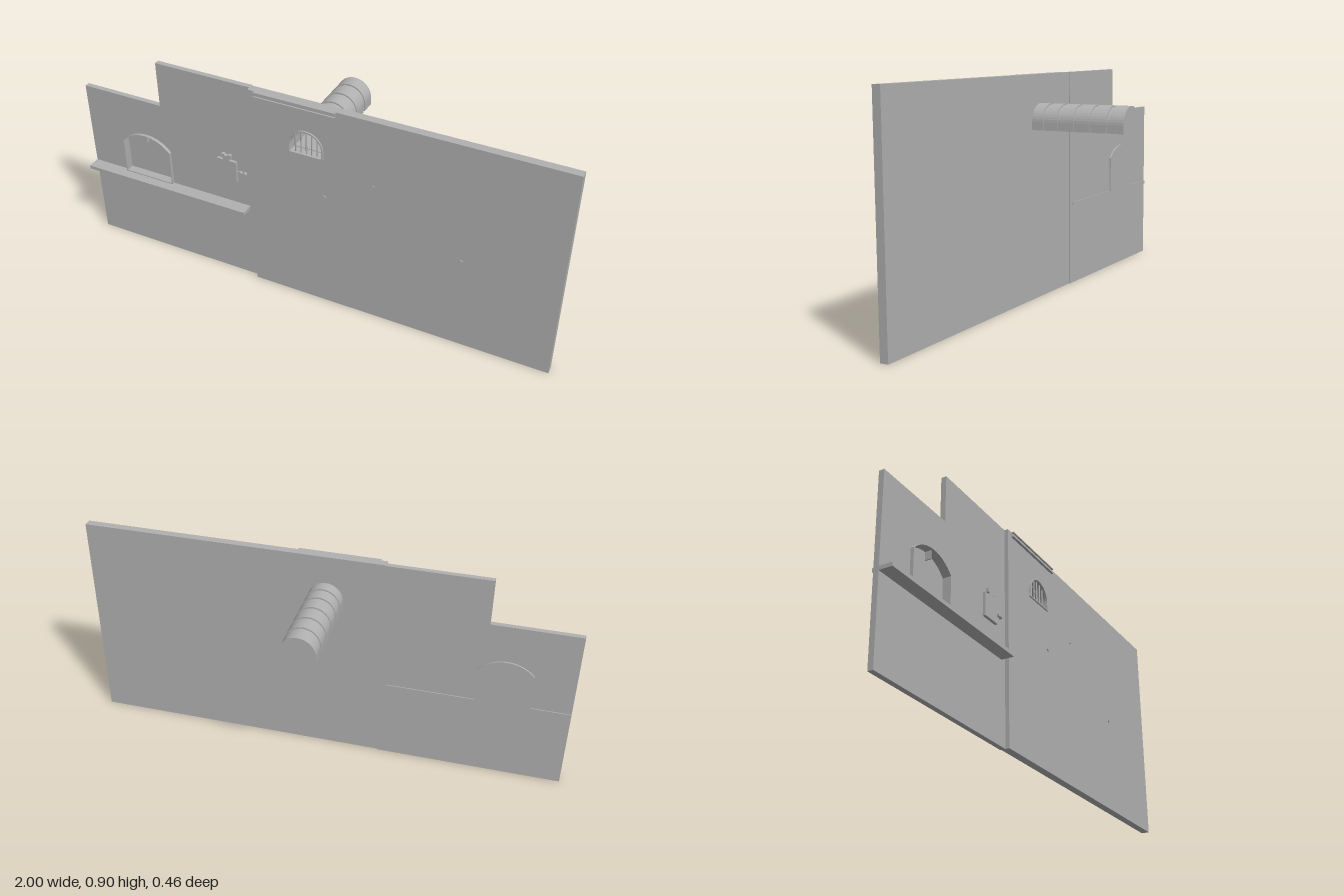
import * as THREE from 'three';

export function createModel() {
  const root = new THREE.Group();
  const grey = new THREE.MeshStandardMaterial({ color: 0xb0b0b0 });
  grey.name = 'plain grey';

  const add = (name, geometry, parent = root) => {
    const mesh = new THREE.Mesh(geometry, grey);
    mesh.name = name;
    parent.add(mesh);
    return mesh;
  };
  // Box given by its limits on each axis
  const box = (name, x0, x1, y0, y1, z0, z1, parent) => {
    const g = new THREE.BoxGeometry(x1 - x0, y1 - y0, z1 - z0);
    g.translate((x0 + x1) / 2, (y0 + y1) / 2, (z0 + z1) / 2);
    return add(name, g, parent);
  };
  // Flat outline pushed from z0 to z1
  const slab = (name, shape, z0, z1, parent) => {
    const g = new THREE.ExtrudeGeometry(shape, { depth: z1 - z0, bevelEnabled: false, curveSegments: 16 });
    g.translate(0, 0, z0);
    return add(name, g, parent);
  };
  const poly = (pts) => new THREE.Shape(pts.map(([x, y]) => new THREE.Vector2(x, y)));
  // Upright outline with straight legs and an elliptical top
  const arch = (cx, halfW, y0, spring, top) => {
    const pts = [[cx - halfW, y0], [cx + halfW, y0]];
    for (let i = 0; i <= 20; i++) {
      const a = (i / 20) * Math.PI;
      pts.push([cx + halfW * Math.cos(a), spring + (top - spring) * Math.sin(a)]);
    }
    return poly(pts);
  };
  // Arched alcove: a flatter, segmental top
  const alcove = (grow) => {
    const cx = -0.728, w = 0.112 + grow, spring = 0.5, rise = 0.052 + grow;
    const r = (w * w + rise * rise) / (2 * rise), half = Math.asin(w / r);
    const pts = [[cx - w, 0.35 - grow], [cx + w, 0.35 - grow]];
    for (let i = 0; i <= 16; i++) {
      const a = half - (i / 16) * 2 * half;
      pts.push([cx + r * Math.sin(a), spring + rise - r + r * Math.cos(a)]);
    }
    return poly(pts);
  };

  // Stepped wall with the alcove opening
  const stepped = poly([[-1, 0], [-0.235, 0], [-0.235, 0.9], [-0.645, 0.9], [-0.645, 0.71], [-1, 0.71]]);
  stepped.holes.push(alcove(-0.004));
  slab('steppedWall', stepped, 0.159, 0.18);

  // Long wall with the window opening
  const long = poly([[-0.235, 0], [1, 0], [1, 0.9], [-0.235, 0.9]]);
  long.holes.push(arch(0, 0.066, 0.685, 0.715, 0.781));
  slab('longWall', long, 0.163, 0.196);

  // Alcove back, thin lining and keystone joint
  slab('alcoveBack', alcove(0), 0.152, 0.159);
  const lining = alcove(0);
  lining.holes.push(alcove(-0.004));
  slab('alcoveLining', lining, 0.159, 0.193);
  box('keystoneJoint', -0.73, -0.726, 0.515, 0.55, 0.159, 0.183);

  // Shelf
  box('shelf', -1, -0.26, 0.335, 0.35, 0.155, 0.232);

  // Wall box with collar, cap and side lever
  const fitting = new THREE.Group();
  fitting.name = 'wallBox';
  root.add(fitting);
  slab('boxBody', poly([
    [-0.392, 0.455], [-0.308, 0.455], [-0.308, 0.55], [-0.338, 0.55], [-0.338, 0.558], [-0.33, 0.56],
    [-0.33, 0.576], [-0.343, 0.576], [-0.346, 0.57], [-0.356, 0.57], [-0.359, 0.576], [-0.372, 0.576],
    [-0.372, 0.56], [-0.364, 0.558], [-0.364, 0.55], [-0.392, 0.55]]), 0.179, 0.192, fitting);
  for (const x of [-0.293, -0.274]) {
    const g = new THREE.CylinderGeometry(0.008, 0.008, 0.012, 10);
    g.rotateX(Math.PI / 2).translate(x, 0.502, 0.185);
    add('leverKnob', g, fitting);
  }
  box('lever', -0.308, -0.268, 0.499, 0.505, 0.18, 0.186, fitting);

  // Trim strip at the top edge with a toothed underside
  const trim = new THREE.Group();
  trim.name = 'topTrim';
  root.add(trim);
  box('trimPlate', -0.208, 0.12, 0.88, 0.9, 0.195, 0.2, trim);
  box('upperRail', -0.208, 0.12, 0.896, 0.9, 0.195, 0.206, trim);
  box('lowerRail', -0.208, 0.12, 0.878, 0.882, 0.195, 0.206, trim);

  // Window surround and bars
  const surround = arch(0, 0.072, 0.681, 0.715, 0.787);
  surround.holes.push(arch(0, 0.066, 0.685, 0.715, 0.781));
  slab('windowSurround', surround, 0.195, 0.202);
  for (let i = 0; i < 5; i++) {
    const x = -0.044 + i * 0.022;
    const top = 0.715 + Math.sqrt(0.067 ** 2 - x * x);
    const g = new THREE.CylinderGeometry(0.003, 0.003, top - 0.684, 8);
    g.translate(x, (top + 0.684) / 2, 0.19);
    add('windowBar', g);
  }

  // Vaulted shaft behind the window: inner shell, raised ribs, end wall
  const shaft = new THREE.Group();
  shaft.name = 'vaultedShaft';
  root.add(shaft);
  const shell = arch(0, 0.066, 0.684, 0.715, 0.78);
  shell.holes.push(arch(0, 0.062, 0.688, 0.715, 0.776));
  slab('shaftShell', shell, -0.226, 0.163, shaft);
  const ribs = [[0.115, 0.163], [0.053, 0.1], [-0.018, 0.038], [-0.089, -0.03], [-0.16, -0.101], [-0.23, -0.174]];
  for (const [z0, z1] of ribs) {
    const rib = arch(0, 0.07, 0.683, 0.715, 0.786);
    rib.holes.push(arch(0, 0.065, 0.685, 0.715, 0.779));
    slab('shaftRib', rib, z0, z1, shaft);
  }
  slab('shaftEnd', arch(0, 0.07, 0.681, 0.715, 0.786), -0.232, -0.226, shaft);

  // Small wall studs
  for (const [x, y, r] of [[0.073, 0.513, 0.009], [0.625, 0.402, 0.009], [0.272, 0.625, 0.005]]) {
    const g = new THREE.CylinderGeometry(r, r, 0.006, 8);
    g.rotateX(Math.PI / 2).translate(x, y, 0.197);
    add('wallStud', g);
  }
  return root;
}
